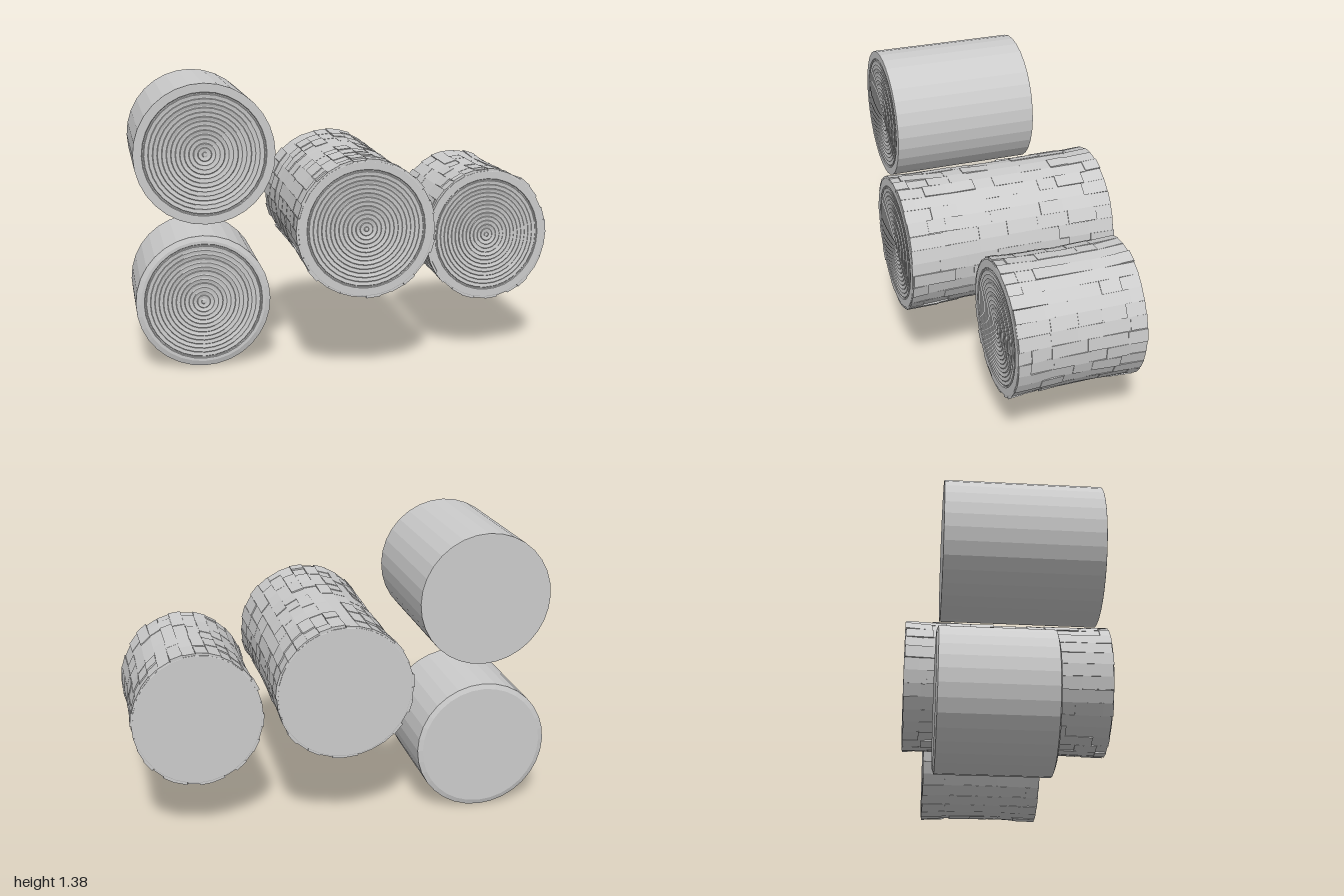
import * as THREE from 'three';

const SIDES = 32;
const material = new THREE.MeshStandardMaterial({ color: 0xcccccc, flatShading: true, side: THREE.DoubleSide });

// Small seeded generator for the bark's irregularity
function makeRandom(seed) {
  return () => {
    seed = (seed * 16807) % 2147483647;
    return seed / 2147483647;
  };
}

// Solid of revolution along z: flat back, bevelled edges, growth rings on the front
function logBody(r, back, front, bevel) {
  const pts = [
    [0, back], [r - bevel * 3, back], [r, back + bevel],
    [r, front - bevel], [r - bevel * 3, front],
  ];
  const inner = r * 0.88;
  pts.push([inner, front]);
  const rings = 14;
  for (let i = 0; i < rings; i++) {
    const a = inner * (1 - i / rings);
    const step = inner / rings;
    const depth = i % 3 === 0 ? 0.005 : 0.003;
    pts.push([a - step * 0.15, front - depth], [a - step * 0.4, front - depth], [a - step * 0.55, front - 0.001]);
  }
  pts.push([0, front - 0.001]);
  const g = new THREE.LatheGeometry(pts.map(([x, y]) => new THREE.Vector2(x, y)), SIDES);
  g.rotateX(Math.PI / 2);
  return g;
}

// One bark plate: a box bent around the log, sloping from radius r0 to r1
function barkPlate(a0, a1, z0, z1, r0, r1, inner) {
  const g = new THREE.BoxGeometry(1, 1, 1);
  const p = g.attributes.position;
  for (let i = 0; i < p.count; i++) {
    const a = p.getX(i) > 0 ? a0 : a1;
    const far = p.getZ(i) > 0;
    const r = p.getY(i) > 0 ? (far ? r1 : r0) : inner;
    p.setXYZ(i, Math.cos(a) * r, Math.sin(a) * r, far ? z1 : z0);
  }
  g.computeVertexNormals();
  return g;
}

// Staggered rows of plates, with a slight flare at both ends
function addBark(log, r, back, front, seed) {
  const rnd = makeRandom(seed);
  const bark = new THREE.Group();
  bark.name = 'bark';
  const mid = (back + front) / 2, half = (front - back) / 2;
  const flare = z => r - 0.012 + 0.01 * ((z - mid) / half) ** 2;
  const da = (Math.PI * 2) / SIDES;
  for (let s = 0; s < SIDES; s++) {
    const end = front - rnd() * 0.006;
    let z = back + rnd() * 0.006;
    let length = 0.05 + rnd() * 0.1;
    while (z < end - 0.001) {
      let next = z + length;
      if (end - next < 0.04) next = end;
      const lift = (rnd() - 0.5) * 0.009;
      const tilt = (rnd() - 0.5) * 0.005;
      const skew = (rnd() - 0.5) * 0.012;
      const plate = new THREE.Mesh(
        barkPlate(s * da + skew, (s + 1) * da + skew, z, next,
          flare(z) + lift + tilt, flare(next) + lift - tilt, r - 0.04), material);
      plate.name = 'barkPlate';
      bark.add(plate);
      z = next;
      length = 0.08 + rnd() * 0.09;
    }
  }
  log.add(bark);
}

function makeLog({ name, x, y, r, back, front, bevel = 0.001, widthScale = 1, barkSeed = 0 }) {
  const log = new THREE.Group();
  log.name = name;
  const body = new THREE.Mesh(logBody(barkSeed ? r - 0.012 : r, back, front, bevel), material);
  body.name = 'wood';
  log.add(body);
  if (barkSeed) addBark(log, r, back, front, barkSeed);
  log.scale.x = widthScale;
  log.position.set(x, y, 0);
  return log;
}

export function createModel() {
  const model = new THREE.Group();
  model.name = 'logs';
  const logs = [
    // Smooth logs
    { name: 'upperSmoothLog', x: -0.682, y: 1.058, r: 0.319, back: -0.345, front: 0.362 },
    { name: 'lowerSmoothLog', x: -0.682, y: 0.32, r: 0.319, back: -0.362, front: 0.155, bevel: 0.008 },
    // Bark-covered logs
    { name: 'longBarkLog', x: 0.03, y: 0.714, r: 0.325, back: -0.5, front: 0.495, barkSeed: 71 },
    { name: 'shortBarkLog', x: 0.693, y: 0.597, r: 0.326, back: -0.39, front: 0.212, widthScale: 0.94, barkSeed: 1234 },
  ];
  logs.forEach(spec => model.add(makeLog(spec)));
  return model;
}
